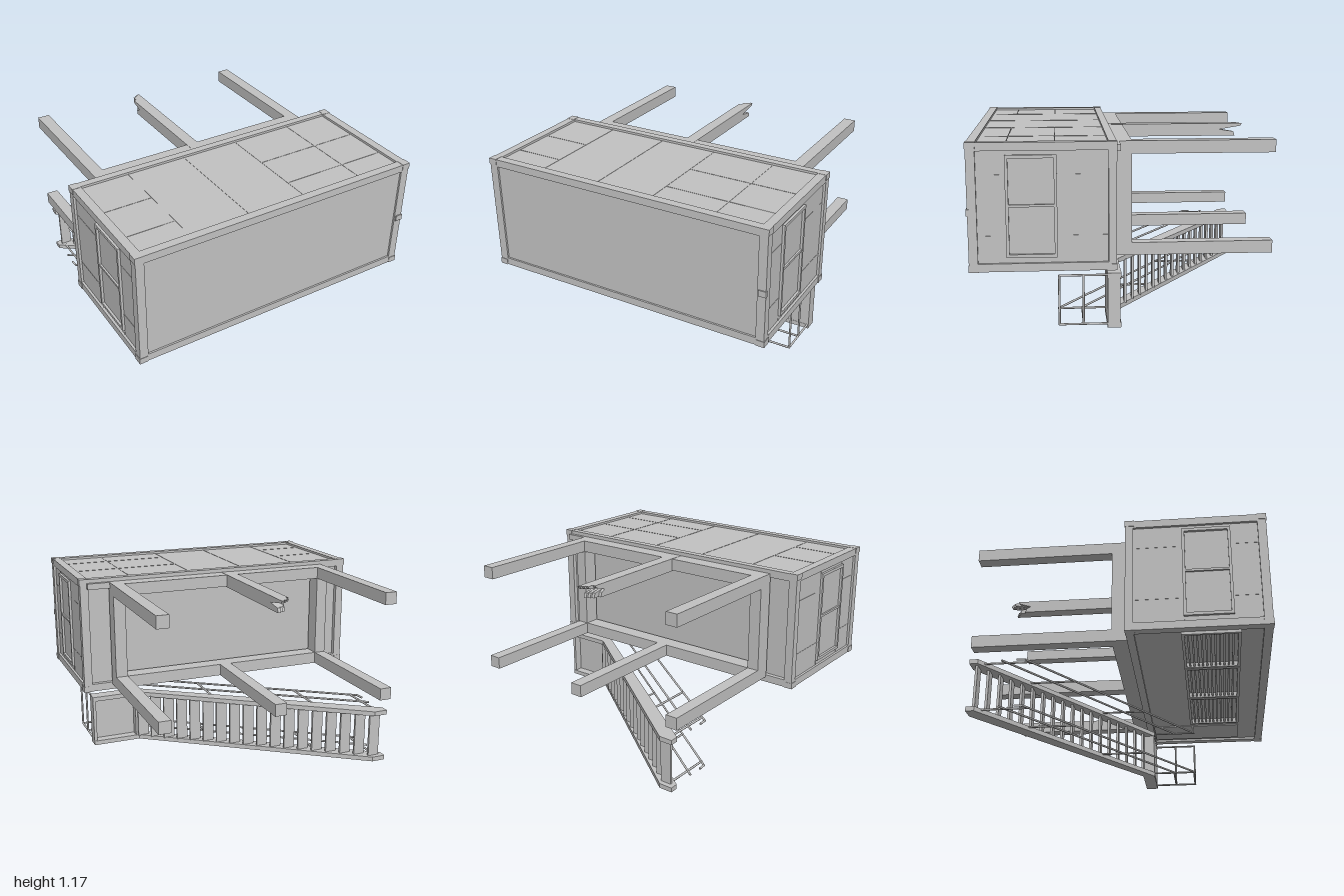
import * as THREE from 'three';

export function createModel() {
  const model = new THREE.Group();
  const grey = new THREE.MeshStandardMaterial({ color: 0xc2c2c2 });
  grey.name = 'plain grey';

  const add = (name, geometry, parent = model) => {
    const mesh = new THREE.Mesh(geometry, grey);
    mesh.name = name;
    parent.add(mesh);
    return mesh;
  };
  const group = (name) => {
    const g = new THREE.Group();
    g.name = name;
    model.add(g);
    return g;
  };
  // Box given by its limits on each axis
  const box = (name, x0, x1, y0, y1, z0, z1, parent) => {
    const g = new THREE.BoxGeometry(x1 - x0, y1 - y0, z1 - z0);
    g.translate((x0 + x1) / 2, (y0 + y1) / 2, (z0 + z1) / 2);
    return add(name, g, parent);
  };
  // Round bar between two points
  const rod = (name, a, b, parent, r = 0.007) => {
    const p = new THREE.Vector3(...a), q = new THREE.Vector3(...b);
    const d = q.clone().sub(p);
    const m = add(name, new THREE.CylinderGeometry(r, r, d.length() + r, 8), parent);
    m.position.copy(p).add(q).multiplyScalar(0.5);
    m.quaternion.setFromUnitVectors(new THREE.Vector3(0, 1, 0), d.normalize());
  };

  // Cabin: recessed walls inside a frame of edge beams
  const cabin = group('cabin');
  const Y0 = 0.385, Y1 = 1.165, Z0 = 0.055, Z1 = 0.94;
  box('cabinWalls', -0.98, 0.98, Y0 + 0.015, Y1 - 0.015, Z0 + 0.03, Z1 - 0.012, cabin);
  for (const [y0, y1] of [[Y0, Y0 + 0.05], [Y1 - 0.05, Y1]]) {
    for (const [z0, z1] of [[Z0, Z0 + 0.05], [Z1 - 0.055, Z1]]) {
      box('longBeam', -0.996, 0.996, y0, y1, z0, z1, cabin);
    }
    for (const s of [-1, 1]) {
      box('cornerPost', s > 0 ? 0.94 : -0.996, s > 0 ? 0.996 : -0.94, y0, y1, Z0, Z1, cabin);
      const c0 = y0 === Y0 ? Y0 - 0.002 : Y1 - 0.038;
      for (const z of [Z0, Z1 - 0.055]) {
        box('cornerBlock', s > 0 ? 0.945 : -1, s > 0 ? 1 : -0.945, c0, c0 + 0.04, z - 0.002, z + 0.058, cabin);
      }
    }
  }
  for (const s of [-1, 1]) {
    for (const [z0, z1] of [[Z0, Z0 + 0.05], [Z1 - 0.055, Z1]]) {
      box('endBeam', s > 0 ? 0.94 : -0.996, s > 0 ? 0.996 : -0.94, Y0, Y1, z0, z1, cabin);
    }
  }
  box('roofFitting', 0.95, 1, 0.73, 0.77, 0.93, 0.947, cabin);
  box('edgeFitting', 0.8, 0.95, 1.1, 1.14, 0.03, 0.06, cabin);

  // Panel seams on the long wall
  const ys = Y1 - 0.015;
  for (const x of [-0.61, -0.2, 0.2, 0.63]) {
    box('wallSeam', x - 0.003, x + 0.003, ys - 0.002, ys + 0.002, 0.1, 0.885, cabin);
  }
  for (const z of [0.42, 0.71]) {
    for (const [a, b] of [[-0.94, -0.61], [0.2, 0.94]]) {
      box('wallSeam', a, b, ys - 0.002, ys + 0.002, z - 0.003, z + 0.003, cabin);
    }
  }

  // End windows with two panes, and seams around them
  for (const s of [-1, 1]) {
    const end = group('endWindow');
    const bar = (name, y0, y1, z0, z1, d) =>
      box(name, Math.min(s * 0.97, s * d), Math.max(s * 0.97, s * d), y0, y1, z0, z1, end);
    bar('windowSide', 0.47, 0.49, 0.41, 0.715, 0.996);
    bar('windowSide', 1.07, 1.09, 0.41, 0.715, 0.996);
    bar('windowEdge', 0.49, 1.07, 0.41, 0.428, 0.996);
    bar('windowEdge', 0.49, 1.07, 0.697, 0.715, 0.996);
    bar('windowDivider', 0.778, 0.793, 0.428, 0.697, 0.992);
    for (const y of [0.6, 0.97]) {
      bar('endSeam', y - 0.003, y + 0.003, 0.105, 0.41, 0.982);
      bar('endSeam', y - 0.003, y + 0.003, 0.715, 0.885, 0.982);
    }
    for (const z of [0.412, 0.712]) {
      bar('endSeam', 0.435, 0.47, z - 0.003, z + 0.003, 0.982);
      bar('endSeam', 1.09, 1.115, z - 0.003, z + 0.003, 0.982);
    }
  }

  // Slatted grille and door on the stair side
  const grille = group('grille');
  for (let i = 0; i < 3; i++) {
    const x0 = -0.945 + i * 0.495, x1 = x0 + 0.485;
    for (const x of [x0, x1 - 0.018]) box('grilleUpright', x, x + 0.018, 0.366, 0.405, 0.39, 0.75, grille);
    for (const z of [0.39, 0.732]) box('grilleRail', x0, x1, 0.366, 0.405, z, z + 0.018, grille);
    for (let k = 0; k < 11; k++) {
      const z = 0.422 + k * 0.0275;
      box('grilleSlat', x0, x1, 0.374, 0.386, z, z + 0.012, grille);
    }
  }
  box('door', 0.64, 0.91, 0.393, 0.405, 0.11, 0.75, cabin);

  // Support frame on six legs
  const base = group('supportFrame');
  const rows = [[0.42, 0.5], [1.06, 1.14]];
  for (const [y0, y1] of rows) {
    box('frameBeam', -0.8, 0.8, y0, y1, -0.05, 0.06, base);
    for (const x of [-0.76, 0.76]) box('leg', x - 0.04, x + 0.04, y0, y1, -0.94, 0.05, base);
  }
  for (const x of [-0.76, 0.76]) box('crossBeam', x - 0.04, x + 0.04, 0.5, 1.06, -0.05, 0.06, base);
  box('leg', -0.04, 0.04, 0.42, 0.5, -0.94, 0.05, base);

  // Broken middle leg: strips with uneven, split ends
  const ends = [-0.83, -0.87, -0.885, -0.9];
  ends.forEach((e, i) => {
    const s = new THREE.Shape([[0.05, 1.055], [0.05, 1.142], [e, 1.142], [e + 0.01, 1.125],
      [-0.74, 1.1], [e + 0.06, 1.085], [e + 0.05, 1.055]].map((p) => new THREE.Vector2(...p)));
    const g = new THREE.ExtrudeGeometry(s, { depth: 0.02, bevelEnabled: false });
    g.rotateY(-Math.PI / 2);
    g.translate(-0.07 + i * 0.02, 0, 0);
    add('brokenLeg', g, base);
  });

  // Stair stringers running up into the landing
  const stair = group('stairs');
  const outline = [[-0.77, -0.95], [-0.68, -0.95], [0.63, 0.025], [0.95, 0.025],
    [0.95, 0.11], [0.63, 0.11], [-0.77, -0.896]];
  for (const y of [0.03, 0.35]) {
    const g = new THREE.ExtrudeGeometry(new THREE.Shape(outline.map((p) => new THREE.Vector2(...p))),
      { depth: 0.03, bevelEnabled: false });
    g.rotateX(Math.PI / 2);
    g.translate(0, y, 0);
    add('stringer', g, stair);
  }
  for (let i = 0; i < 18; i++) {
    const x = -0.74 + i * 0.0765, z = -0.91 + i * 0.055;
    box('tread', x, x + 0.075, 0.025, 0.325, z - 0.008, z + 0.008, stair);
  }
  box('landing', 0.63, 0.95, 0.025, 0.325, 0.085, 0.108, stair);
  for (const x of [0.63, 0.93]) box('landingEdge', x, x + 0.02, 0.025, 0.325, 0.03, 0.1, stair);

  // Handrails on both sides and round the landing
  const rail = group('handrails');
  const slope = (x, h) => 0.107 + h + 0.72 * (x - 0.63);
  for (const y of [0.025, 0.338]) {
    for (const h of [0.15, 0.298]) {
      rod('stairRail', [-0.76, y, slope(-0.76, h)], [0.63, y, slope(0.63, h)], rail);
    }
    const t = slope(-0.76, 0.298);
    rod('railEnd', [-0.76, y, t], [-0.765, y, t - 0.05], rail);
    for (const x of [-0.72, -0.4, 0.17, 0.64]) {
      rod('railPost', [x, y, slope(x, -0.02)], [x, y, slope(x, 0.298)], rail);
    }
    rod('railPost', [0.94, y, 0.1], [0.94, y, 0.405], rail);
  }
  for (const z of [0.257, 0.405]) {
    rod('landingRail', [0.63, 0.025, z], [0.94, 0.025, z], rail);
    rod('landingEndRail', [0.94, 0.025, z], [0.94, 0.338, z], rail);
  }
  rod('wallBracket', [0.64, 0.338, 0.405], [0.655, 0.39, 0.405], rail);

  return model;
}
